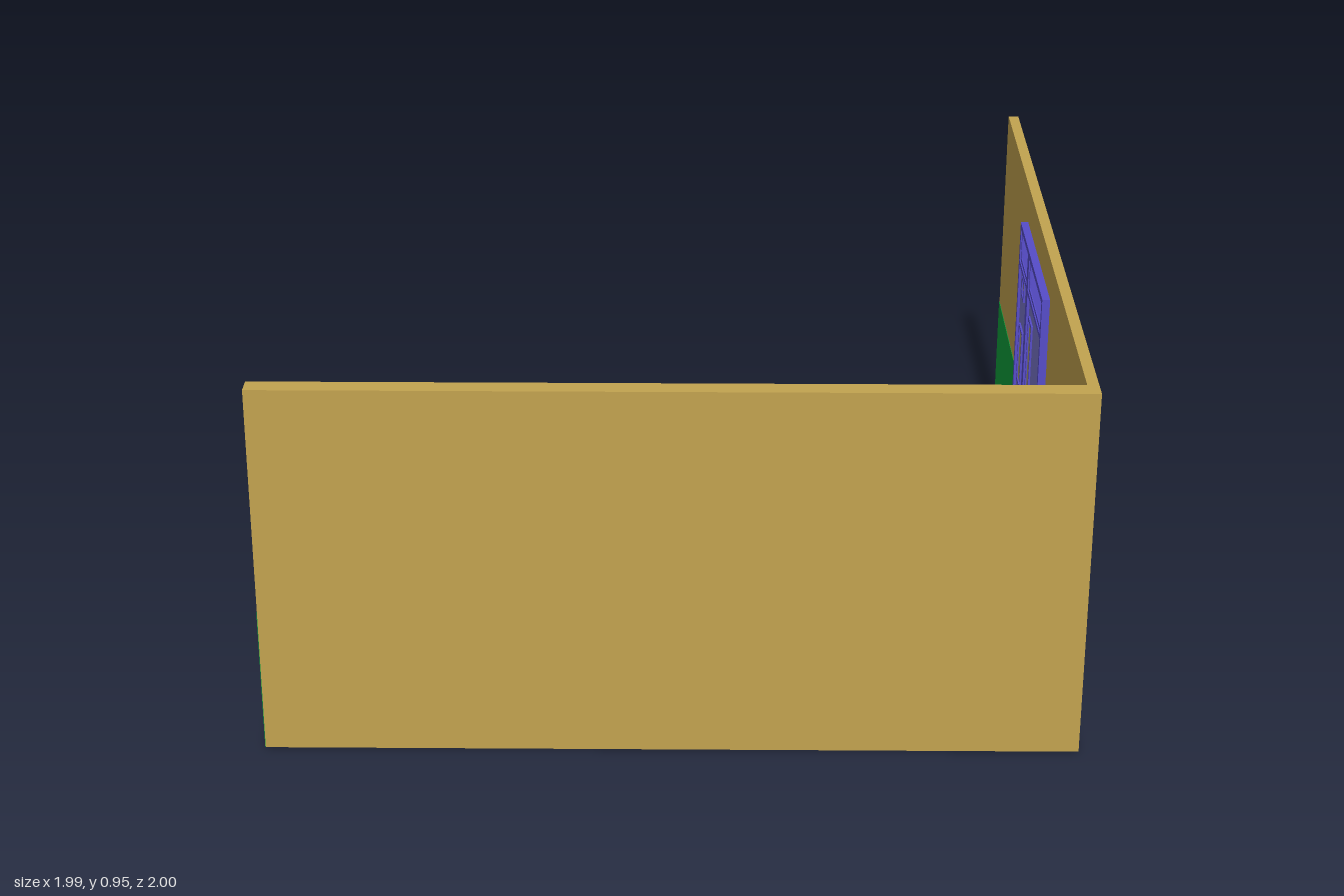
import * as THREE from 'three';

const mat = (color) => new THREE.MeshStandardMaterial({ color, flatShading: true });
const WALL = mat(0xc2a34f), GREEN = mat(0x0e9e3a), LEAF = mat(0x7975c9);
const FRAME = mat(0x564cc8), BAR = mat(0x45409c), GLASS = mat(0xa89c74);

// Box given by its minimum and maximum on each axis
function box(parent, name, material, x0, x1, y0, y1, z0, z1) {
  const mesh = new THREE.Mesh(new THREE.BoxGeometry(x1 - x0, y1 - y0, z1 - z0), material);
  mesh.position.set((x0 + x1) / 2, (y0 + y1) / 2, (z0 + z1) / 2);
  mesh.name = name;
  parent.add(mesh);
  return mesh;
}

// Rectangular border with an open middle
function border(parent, name, material, u0, u1, y0, y1, d0, d1, w) {
  const shape = new THREE.Shape([[u0, y0], [u1, y0], [u1, y1], [u0, y1]].map((p) => new THREE.Vector2(...p)));
  shape.holes.push(new THREE.Path([[u0 + w, y0 + w], [u0 + w, y1 - w], [u1 - w, y1 - w], [u1 - w, y0 + w]]
    .map((p) => new THREE.Vector2(...p))));
  const mesh = new THREE.Mesh(new THREE.ExtrudeGeometry(shape, { depth: d1 - d0, bevelEnabled: false }), material);
  mesh.position.z = d0;
  mesh.name = name;
  parent.add(mesh);
}

// Push bar: a rail bent back to the leaf at both ends
function pushBar(parent, u0, u1, y, d0, d1) {
  const path = new THREE.CurvePath();
  const pts = [[u0, d0], [u0, d1 - 0.006], [u0 + 0.008, d1], [u1 - 0.008, d1], [u1, d1 - 0.006], [u1, d0]]
    .map(([u, d]) => new THREE.Vector3(u, y, d));
  for (let i = 1; i < pts.length; i++) path.add(new THREE.LineCurve3(pts[i - 1], pts[i]));
  const mesh = new THREE.Mesh(new THREE.TubeGeometry(path, 40, 0.006, 6), BAR);
  mesh.name = 'pushBar';
  parent.add(mesh);
}

// One door bay: frame, louvred transom, leaf, windows and optional push bar
function doorBay({ u0, u1, d, windows, glass, bar }) {
  const g = new THREE.Group();
  g.name = 'doorBay';
  const y0 = 0.035, yT = 0.76, y1 = 0.865, w = 0.018, front = d + 0.02;
  box(g, 'framePost', FRAME, u0, u0 + w, y0, y1, d, front);
  box(g, 'framePost', FRAME, u1 - w, u1, y0, y1, d, front);
  box(g, 'frameHead', FRAME, u0 + w, u1 - w, y1 - 0.016, y1, d, front);
  box(g, 'transomRail', FRAME, u0 + w, u1 - w, yT - 0.012, yT, d, front);

  // Louvre
  box(g, 'louvreBack', BAR, u0 + w, u1 - w, yT, y1 - 0.016, d, d + 0.004);
  border(g, 'louvreFrame', FRAME, u0 + w, u1 - w, yT, y1 - 0.016, d + 0.004, d + 0.017, 0.01);
  for (let i = 0; i < 4; i++) {
    const y = yT + 0.019 + i * 0.017;
    const slat = box(g, 'louvreSlat', FRAME, u0 + w + 0.01, u1 - w - 0.01, y - 0.002, y + 0.002, d + 0.003, d + 0.016);
    slat.rotation.x = 0.6;
  }

  // Leaf with its windows
  box(g, 'leaf', LEAF, u0 + w, u1 - w, y0 + 0.006, yT - 0.012, d + 0.001, d + 0.013);
  for (const [a, b, c, e] of windows) {
    box(g, 'windowPane', glass, a, b, c, e, d + 0.012, d + 0.0145);
    border(g, 'windowFrame', FRAME, a - 0.006, b + 0.006, c - 0.006, e + 0.006, d + 0.012, d + 0.018, 0.009);
  }
  if (bar) pushBar(g, bar[0], bar[1], 0.355, d + 0.01, bar[2]);
  return g;
}

export function createModel() {
  const model = new THREE.Group();
  model.name = 'cornerWalls';
  const H = 0.955, G = 0.37, X = 0.993, t = 0.0015;

  // Two walls meeting at a corner
  box(model, 'frontWall', WALL, -X + t, X, 0, H, 0.95, 1);
  box(model, 'sideWall', WALL, 0.965, X, 0, H, -1, 0.95);

  // Painted lower band on the inside
  box(model, 'frontBand', GREEN, -X, 0.965, 0.001, G, 0.95 - t, 0.95);
  box(model, 'frontBandEnd', GREEN, -X, -X + t, 0.001, G, 0.95, 0.999);
  box(model, 'sideBand', GREEN, 0.965 - t, 0.965, 0.001, G, -0.999, 0.95 - t);

  // Double door on the front wall, facing inwards
  const doubleDoor = new THREE.Group();
  doubleDoor.name = 'doubleDoor';
  doubleDoor.position.z = 0.95;
  doubleDoor.rotation.y = Math.PI;
  doubleDoor.add(
    doorBay({ u0: 0.105, u1: 0.48, d: 0.002, windows: [[0.165, 0.24, 0.46, 0.7]], glass: FRAME, bar: [0.16, 0.38, 0.036] }),
    doorBay({ u0: -0.26, u1: 0.11, d: 0.012, windows: [[-0.025, 0.046, 0.46, 0.7]], glass: FRAME, bar: [-0.16, 0.06, 0.034] }),
  );
  model.add(doubleDoor);

  // Uneven door pair on the side wall, facing inwards
  const unevenDoor = new THREE.Group();
  unevenDoor.name = 'unevenDoor';
  unevenDoor.position.x = 0.965;
  unevenDoor.rotation.y = -Math.PI / 2;
  unevenDoor.add(
    doorBay({ u0: -0.36, u1: -0.14, d: 0.002, windows: [[-0.295, -0.225, 0.43, 0.585], [-0.28, -0.235, 0.685, 0.73]], glass: GLASS }),
    doorBay({ u0: -0.14, u1: 0.205, d: 0.002, windows: [[-0.09, -0.025, 0.46, 0.69]], glass: GLASS, bar: [-0.11, 0.11, 0.03] }),
  );
  model.add(unevenDoor);
  return model;
}
